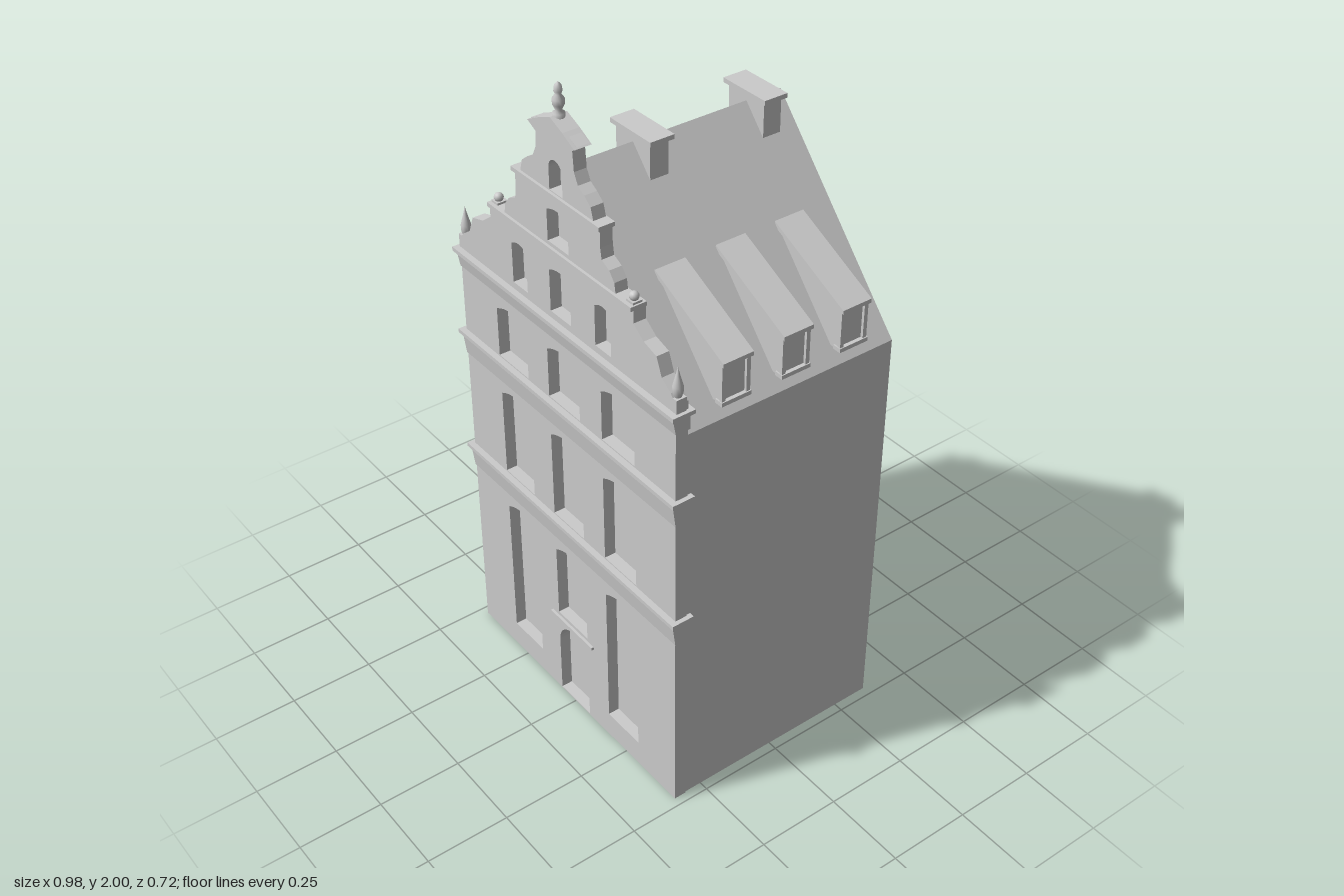
import * as THREE from 'three';

const mat = new THREE.MeshStandardMaterial({ color: 0xcccccc, side: THREE.DoubleSide });
const HALF = 0.472, EAVE = 1.245, RIDGE = 1.772, BACK = -0.36, INNER = 0.305;
const FACE = 0.342; // front plane of the facade

function add(parent, name, geo, x = 0, y = 0, z = 0) {
  const m = new THREE.Mesh(geo, mat);
  m.name = name;
  m.position.set(x, y, z);
  parent.add(m);
  return m;
}

// box given by its limits
function block(parent, name, x0, x1, y0, y1, z0, z1) {
  return add(parent, name, new THREE.BoxGeometry(x1 - x0, y1 - y0, z1 - z0),
    (x0 + x1) / 2, (y0 + y1) / 2, (z0 + z1) / 2);
}

// opening with a segmental or round head
function opening(x, halfW, y0, y1, rise) {
  const p = new THREE.Path();
  p.moveTo(x - halfW, y0);
  p.lineTo(x + halfW, y0);
  p.lineTo(x + halfW, y1 - rise);
  if (rise >= halfW) p.absarc(x, y1 - rise, halfW, 0, Math.PI, false);
  else p.quadraticCurveTo(x, y1 + rise, x - halfW, y1 - rise);
  p.lineTo(x - halfW, y0);
  return p;
}

// pierced slab with a pane closing the back of every opening
function piercedWall(parent, name, shape, holes, depth) {
  const wall = new THREE.Group();
  wall.name = name;
  shape.holes.push(...holes);
  add(wall, name + 'Masonry', new THREE.ExtrudeGeometry(shape, { depth, bevelEnabled: false, curveSegments: 8 }));
  for (const h of holes) add(wall, 'pane', new THREE.ShapeGeometry(new THREE.Shape(h.getPoints(8))), 0, 0, 0.003);
  parent.add(wall);
  return wall;
}

function rect(x0, x1, y0, y1) {
  return new THREE.Shape([[x0, y0], [x1, y0], [x1, y1], [x0, y1]].map(p => new THREE.Vector2(...p)));
}

// straight prism running along x from a z-y profile
function rail(parent, name, halfLen, profile) {
  const s = new THREE.Shape(profile.map(([z, y]) => new THREE.Vector2(-z, y)));
  const g = new THREE.ExtrudeGeometry(s, { depth: halfLen * 2, bevelEnabled: false });
  g.rotateY(Math.PI / 2);
  add(parent, name, g, -halfLen, 0, 0);
}

function finial(parent, name, x, y, z, points, sides = 12) {
  add(parent, name, new THREE.LatheGeometry(points.map(p => new THREE.Vector2(...p)), sides), x, y, z);
}

function quad(parent, name, a, b, c, d) {
  const g = new THREE.BufferGeometry();
  g.setAttribute('position', new THREE.Float32BufferAttribute([...a, ...b, ...c, ...d], 3));
  g.setIndex([0, 1, 2, 0, 2, 3]);
  g.computeVertexNormals();
  add(parent, name, g);
}

function createDormer(side, z) {
  const d = new THREE.Group();
  d.name = 'dormer';
  // wedge body between the roof slope and a flatter roof
  const body = new THREE.Shape();
  body.moveTo(0.215, 1.53);
  body.lineTo(0.465, 1.41);
  body.lineTo(0.465, 1.285);
  body.lineTo(0.43, 1.285);
  const g = new THREE.ExtrudeGeometry(body, { depth: 0.084, bevelEnabled: false });
  add(d, 'dormerBody', g, 0, 0, -0.042);
  // roof slab, window frame and sill
  const roof = new THREE.Shape([[0.21, 1.542], [0.48, 1.412], [0.48, 1.4], [0.21, 1.528]].map(p => new THREE.Vector2(...p)));
  add(d, 'dormerRoof', new THREE.ExtrudeGeometry(roof, { depth: 0.094, bevelEnabled: false }), 0, 0, -0.047);
  for (const s of [-1, 1]) block(d, 'dormerJamb', 0.464, 0.473, 1.285, 1.402, s * 0.038 - 0.006, s * 0.038 + 0.006);
  block(d, 'dormerSill', 0.45, 0.476, 1.283, 1.295, -0.046, 0.046);
  d.position.z = z;
  if (side < 0) d.rotation.y = Math.PI;
  return d;
}

function createGable(parent) {
  // right half of the scrolled outline, bottom to top; mirrored for the left
  const half = [
    [0.475, 1.3], [0.475, 1.35], [0.455, 1.375], [0.42, 1.40], [0.40, 1.45], [0.35, 1.465], [0.31, 1.495],
    [0.31, 1.53], [0.24, 1.535], [0.235, 1.57], [0.215, 1.595], [0.185, 1.61], [0.18, 1.64], [0.18, 1.695],
    [0.155, 1.7], [0.145, 1.735], [0.12, 1.755], [0.095, 1.77], [0.08, 1.80], [0.075, 1.865],
    [0.095, 1.872], [0.05, 1.892], [0, 1.912]];
  const left = half.slice(0, -1).reverse().map(([x, y]) => [-x, y]);
  const shape = new THREE.Shape([...half, ...left].map(p => new THREE.Vector2(...p)));
  const holes = [
    opening(-0.182, 0.033, 1.345, 1.475, 0.012), opening(0, 0.045, 1.345, 1.48, 0.012),
    opening(0.182, 0.033, 1.345, 1.475, 0.012), opening(0, 0.045, 1.553, 1.655, 0.012),
    opening(0, 0.028, 1.705, 1.795, 0.028)];
  piercedWall(parent, 'gable', shape, holes, FACE - INNER).position.z = INNER;
  // ledges of the gable steps
  for (const [w, y] of [[0.31, 1.53], [0.187, 1.69]]) block(parent, 'gableLedge', -w, w, y, y + 0.012, INNER - 0.003, 0.35);
  // raking top moulding
  const cap = new THREE.Shape([[-0.098, 1.868], [0, 1.82], [0.098, 1.868], [0.05, 1.893], [0, 1.914], [-0.05, 1.893]].map(p => new THREE.Vector2(...p)));
  add(parent, 'gableCap', new THREE.ExtrudeGeometry(cap, { depth: 0.05, bevelEnabled: false }), 0, 0, 0.301);

  // ornaments
  finial(parent, 'topFinial', 0, 1.905, 0.325, [[0.016, 0], [0.016, 0.014], [0.008, 0.02], [0.015, 0.035],
    [0.016, 0.05], [0.008, 0.062], [0.011, 0.07], [0.009, 0.085], [0, 0.095]]);
  for (const s of [-1, 1]) {
    block(parent, 'ballPlinth', s * 0.291 - 0.014, s * 0.291 + 0.014, 1.54, 1.548, 0.311, 0.339);
    add(parent, 'gableBall', new THREE.SphereGeometry(0.013, 12, 8), s * 0.291, 1.557, 0.325);
    block(parent, 'obeliskPlinth', s * 0.463 - 0.015, s * 0.463 + 0.015, 1.325, 1.365, 0.312, 0.342);
    finial(parent, 'obelisk', s * 0.463, 1.365, 0.327, [[0.01, 0], [0.014, 0.012], [0.014, 0.03], [0.006, 0.06], [0, 0.085]]);
  }
}

export function createModel() {
  const house = new THREE.Group();
  house.name = 'gabledHouse';

  // shell: plain back, plain side, roof slopes, open below
  const back = new THREE.Shape([[-HALF, 0], [HALF, 0], [HALF, EAVE], [0, RIDGE], [-HALF, EAVE]].map(p => new THREE.Vector2(...p)));
  add(house, 'backWall', new THREE.ShapeGeometry(back), 0, 0, 0).rotation.y = Math.PI;
  house.children[0].position.z = BACK;
  quad(house, 'leftWall', [HALF, 0, INNER], [HALF, 0, BACK], [HALF, EAVE, BACK], [HALF, EAVE, INNER]);
  quad(house, 'leftRoof', [HALF, EAVE, INNER], [HALF, EAVE, BACK], [0, RIDGE, BACK], [0, RIDGE, INNER]);
  quad(house, 'rightRoof', [-HALF, EAVE, BACK], [-HALF, EAVE, INNER], [0, RIDGE, INNER], [0, RIDGE, BACK]);

  // right side wall with windows on four floors
  const sideHoles = [];
  for (const z of [-0.24, -0.04, 0.2])
    for (const [y0, y1] of [[0.09, 0.32], [0.4, 0.59], [0.68, 0.89], [0.97, 1.14]])
      sideHoles.push(opening(z, 0.062, y0, y1, 0.015));
  const side = piercedWall(house, 'rightWall', rect(BACK, INNER, 0, EAVE), sideHoles, 0.025);
  side.rotation.y = -Math.PI / 2;
  side.position.x = -HALF + 0.025;
  block(house, 'gutter', -0.486, -0.468, EAVE - 0.018, EAVE + 0.004, BACK, INNER);
  for (const z of [0.09, -0.345]) {
    add(house, 'drainpipe', new THREE.CylinderGeometry(0.006, 0.006, EAVE, 8), -0.479, EAVE / 2, z);
    add(house, 'drainpipeShoe', new THREE.CylinderGeometry(0.008, 0.008, 0.02, 8), -0.482, 0.01, z);
  }

  // facade: three bays on three floors, door in the middle
  const holes = [opening(0, 0.07, 0.003, 0.265, 0.07), opening(0, 0.07, 0.3, 0.555, 0.02)];
  for (const x of [-0.237, 0.237]) holes.push(opening(x, 0.07, 0.08, 0.555, 0.02));
  for (const x of [-0.237, 0, 0.237])
    holes.push(opening(x, 0.07, 0.667, 0.957, 0.02), opening(x, 0.07, 1.064, 1.235, 0.02));
  piercedWall(house, 'facade', rect(-0.475, 0.475, 0, 1.3), holes, FACE - INNER).position.z = INNER;
  block(house, 'doorCanopy', -0.1, 0.1, 0.28, 0.289, 0.33, 0.35);

  // cornices: flared frieze with a thin ledge
  for (const y of [0.583, 0.98, 1.265]) {
    const top = y === 1.265 ? 1.325 : y + 0.08;
    rail(house, 'frieze', 0.478, [[0.3, y], [0.344, y], [0.353, top - 0.012], [0.3, top - 0.012]]);
    block(house, 'corniceLedge', -0.488, 0.488, top - 0.012, top, 0.292, 0.36);
  }

  createGable(house);

  // dormers on both slopes
  for (const s of [-1, 1]) for (const z of [0.157, -0.032, -0.222]) house.add(createDormer(s, z));

  // chimneys straddling the ridge
  for (const z of [0.083, -0.275]) {
    block(house, 'chimney', -0.07, 0.07, 1.69, 1.795, z - 0.028, z + 0.028);
    block(house, 'chimneyCap', -0.083, 0.083, 1.793, 1.806, z - 0.037, z + 0.037);
  }
  return house;
}
